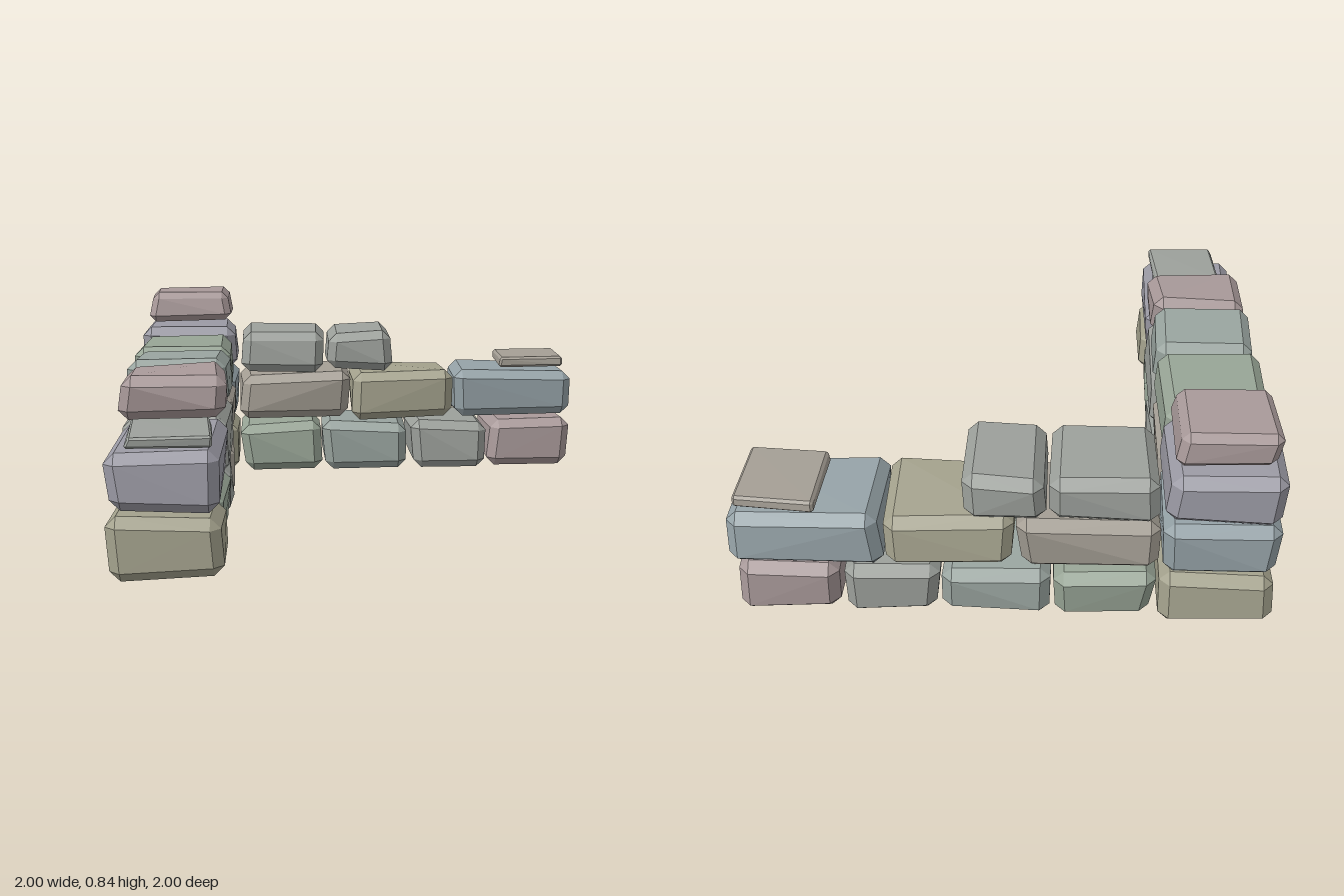
import * as THREE from 'three';
import { ConvexGeometry } from 'three/addons/geometries/ConvexGeometry.js';

const OLIVE = 0xa5a38e, GREEN = 0x98a596, SAGE = 0x9aa5a0, PINK = 0xa99a9a,
  PURPLE = 0x9c9ba5, BLUE = 0x96a3a8, TAN = 0xa59f95, GREY = 0x9da19c;

// Small seeded generator for the uneven corners
let seed = 7;
const rand = () => (seed = (seed * 16807) % 2147483647) / 2147483647;

// Rough stone: a box with uneven corners and chamfered edges, filling the given ranges
function stoneGeometry(ranges, chamfer, rough) {
  const corners = [];
  for (const sx of [-1, 1]) for (const sy of [-1, 1]) for (const sz of [-1, 1]) {
    const s = [sx, sy, sz];
    corners.push({ s, p: s.map((v, i) => {
      const [a, b] = ranges[i];
      const amount = Math.min(rough, (b - a) * 0.12);
      return (v < 0 ? a : b) - v * rand() * amount;
    }) });
  }
  // Stretch back out so the uneven block still fills its slot
  ranges.forEach(([a, b], i) => {
    const vals = corners.map(c => c.p[i]);
    const lo = Math.min(...vals), hi = Math.max(...vals);
    corners.forEach(c => { c.p[i] = a + (c.p[i] - lo) / (hi - lo) * (b - a); });
  });
  // Each corner becomes three points, one on each neighbouring face
  const points = [];
  for (const { s, p } of corners) {
    for (let face = 0; face < 3; face++) {
      points.push(new THREE.Vector3(...p.map((v, i) => i === face ? v : v - s[i] * chamfer)));
    }
  }
  return new ConvexGeometry(points);
}

function addStone(group, name, color, x, y, z, chamfer = 0.038, rough = 0.022) {
  const material = new THREE.MeshStandardMaterial({ color, flatShading: true });
  const mesh = new THREE.Mesh(stoneGeometry([x, y, z], chamfer, rough), material);
  mesh.name = name;
  group.add(mesh);
  return mesh;
}

// Thin loose slab, turned slightly about its own centre
function addSlab(group, name, color, [x, y, z], [w, h, d], turn, tilt, chamfer) {
  const ranges = [w, h, d].map(v => [-v / 2, v / 2]);
  const mesh = addStone(group, name, color, ...ranges, chamfer, 0.012);
  mesh.position.set(x, y, z);
  mesh.rotation.set(tilt[0], turn, tilt[1]);
}

export function createModel() {
  const wall = new THREE.Group();
  wall.name = 'ruinedCornerWall';
  const courses = [[0, 0.235], [0.238, 0.472], [0.468, 0.662]];

  // Corner pillar
  const corner = new THREE.Group();
  corner.name = 'cornerPillar';
  wall.add(corner);
  [[OLIVE, courses[0]], [BLUE, courses[1]], [PURPLE, [0.475, 0.692]]].forEach(([color, y], i) =>
    addStone(corner, `cornerStone${i + 1}`, color, [-1, -0.575], y, [-1, -0.583]));
  addStone(corner, 'capStone', PINK, [-0.97, -0.6], [0.705, 0.842], [-0.955, -0.615], 0.028, 0.025);

  // Back arm, running along x: [start, end, colour] in each course
  const backArm = new THREE.Group();
  backArm.name = 'backArm';
  wall.add(backArm);
  [
    [[-0.565, -0.185, GREEN], [-0.185, 0.225, SAGE], [0.23, 0.592, GREY], [0.595, 0.99, PINK]],
    [[-0.57, -0.05, TAN], [-0.045, 0.43, OLIVE], [0.432, 1, BLUE]],
    [[-0.56, -0.165, GREY], [-0.16, 0.145, GREY]],
  ].forEach((row, i) => row.forEach(([a, b, color], j) =>
    addStone(backArm, `backStone${i + 1}_${j + 1}`, color, [a, b], courses[i], [-0.99, -0.588])));

  // Side arm, running along z
  const sideArm = new THREE.Group();
  sideArm.name = 'sideArm';
  wall.add(sideArm);
  [
    [[-0.57, -0.12, TAN], [-0.115, 0.23, GREY], [0.235, 0.64, GREEN], [0.643, 1, OLIVE]],
    [[-0.57, -0.125, TAN], [-0.12, 0.435, GREY], [0.43, 0.99, PURPLE]],
    [[-0.57, -0.115, GREEN], [-0.11, 0.225, SAGE], [0.235, 0.54, PINK]],
  ].forEach((row, i) => row.forEach(([a, b, color], j) =>
    addStone(sideArm, `sideStone${i + 1}_${j + 1}`, color, [-0.99, -0.58], courses[i], [a, b])));

  // Loose slabs on the broken ends
  addSlab(backArm, 'backSlab', TAN, [0.812, 0.5, -0.8], [0.3, 0.05, 0.31], -0.05, [0, 0.02], 0.01);
  addSlab(sideArm, 'sideSlab', GREY, [-0.772, 0.496, 0.82], [0.3, 0.044, 0.31], 0.06, [0.025, 0], 0.008);
  return wall;
}
